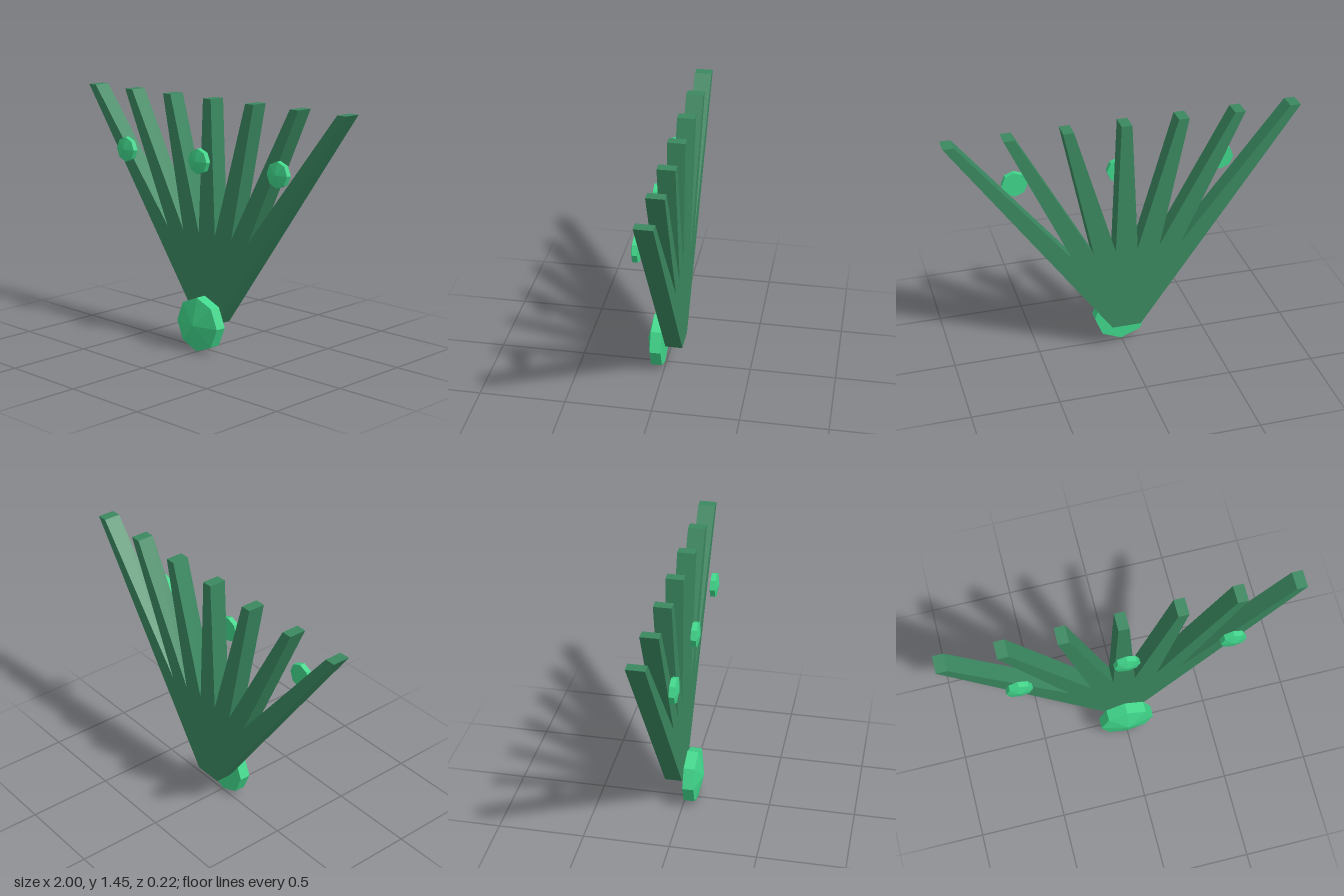
import * as THREE from 'three';

const fanMaterial = new THREE.MeshStandardMaterial({ color: 0x3a8860, flatShading: true });
const gemMaterial = new THREE.MeshStandardMaterial({ color: 0x40d68a, flatShading: true });

// Eight-sided disc with a shallow pointed front, facing +z
function makeGem(name, radius, x, y, back, rim, tip) {
  const profile = [[0, back], [radius, back], [radius, rim], [0, tip]];
  const geometry = new THREE.LatheGeometry(profile.map(([r, h]) => new THREE.Vector2(r, h)), 8);
  geometry.rotateX(Math.PI / 2);
  const gem = new THREE.Mesh(geometry, gemMaterial);
  gem.name = name;
  gem.position.set(x, y, 0);
  return gem;
}

// Flat fan with seven tapering ribs, cut by V-shaped notches
function makeFan() {
  const bottom = 0.165, notchY = 0.68, top = 1.455, ribs = 7;
  const tipSpacing = 0.323, tipHalf = 0.03, notchSpacing = 0.128;
  const shape = new THREE.Shape();
  shape.moveTo(-0.085, bottom);
  shape.lineTo(0.085, bottom);
  for (let i = 0; i < ribs; i++) {
    const k = (ribs - 1) / 2 - i;
    shape.lineTo(k * tipSpacing + tipHalf, top);
    shape.lineTo(k * tipSpacing - tipHalf, top);
    if (i < ribs - 1) shape.lineTo((k - 0.5) * notchSpacing, notchY);
  }
  shape.closePath();
  const geometry = new THREE.ExtrudeGeometry(shape, { depth: 0.1, bevelEnabled: false });
  geometry.translate(0, 0, -0.108);
  const fan = new THREE.Mesh(geometry, fanMaterial);
  fan.name = 'ribbedFan';
  return fan;
}

export function createModel() {
  const model = new THREE.Group();
  model.name = 'fanOrnament';
  model.add(makeFan());

  // Large gem at the base, three small ones across the ribs
  model.add(makeGem('baseGem', 0.16, 0, 0.163, 0.008, 0.073, 0.108));
  const smallGems = { rightGem: -0.597, centreGem: 0, leftGem: 0.597 };
  for (const [name, x] of Object.entries(smallGems)) {
    model.add(makeGem(name, 0.073, x, 1.11, 0.038, 0.068, 0.083));
  }
  return model;
}
